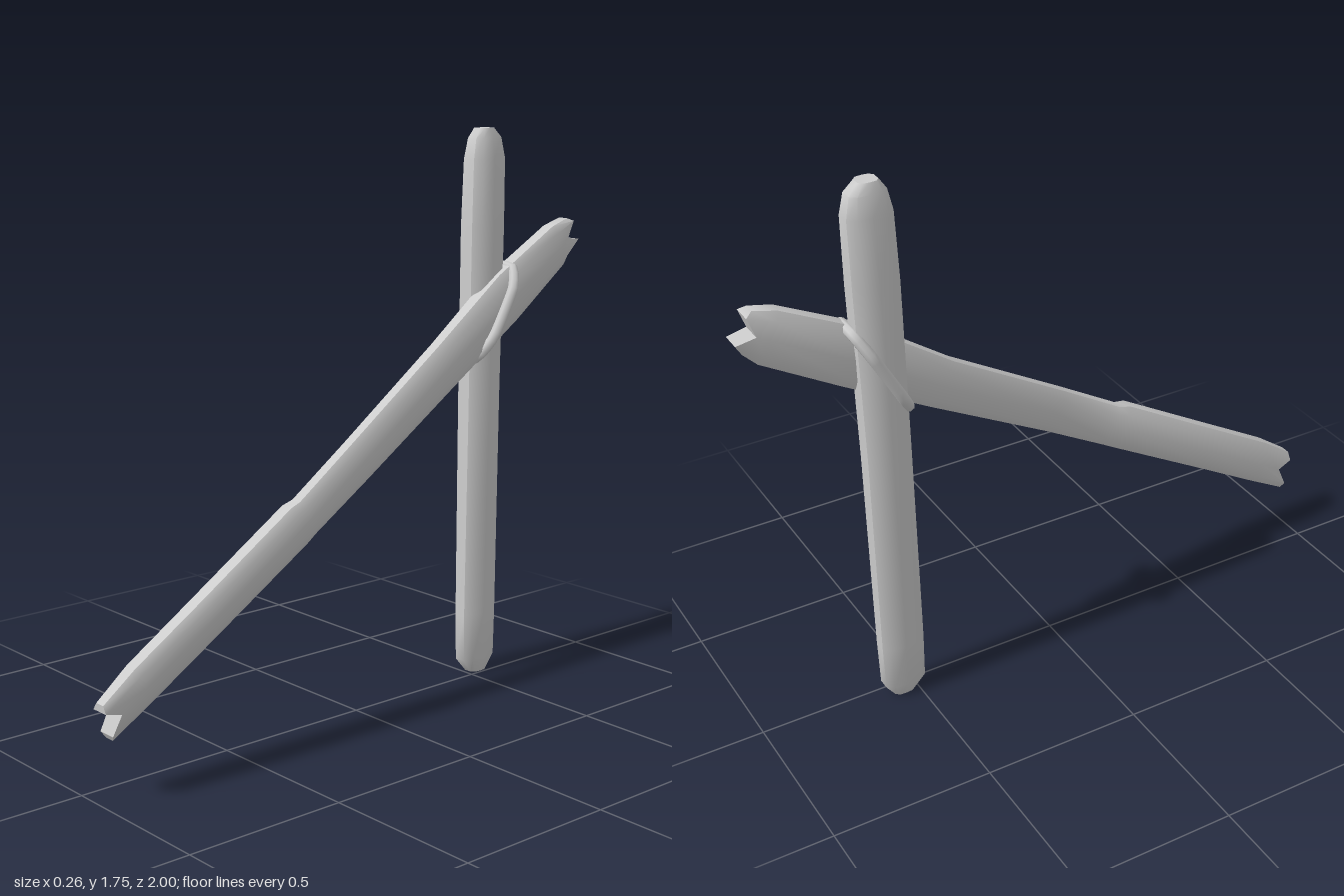
import * as THREE from 'three';
import { toCreasedNormals } from 'three/addons/utils/BufferGeometryUtils.js';

const material = new THREE.MeshStandardMaterial({ color: 0xcccccc });

// Rows of a rounded plank section: [half width, height], top to bottom
const ROWS = [[0.5, 1], [0.92, 0.66], [1, 0], [0.92, -0.66], [0.5, -1]];

// Lofts a plank through rings { s, lo, hi, x, w, lean, cut }.
// s runs along the plank, lo..hi is its depth, cut shifts each row along s.
function plank(name, rings, place) {
  const pos = [], index = [], n = ROWS.length, m = 2 * n;
  for (const { s, lo, hi, x, w, lean = 0, cut } of rings) {
    for (let j = 0; j < m; j++) {
      const row = j < n ? j : m - 1 - j, side = j < n ? 1 : -1;
      const [u, v] = ROWS[row];
      const depth = (lo + hi) / 2 + v * (hi - lo) / 2;
      pos.push(...place(x + side * u * w + lean * v, depth, s + (cut ? cut[row] : 0)));
    }
  }
  for (let i = 0; i < rings.length - 1; i++) {
    for (let j = 0; j < m; j++) {
      const a = i * m + j, b = i * m + (j + 1) % m;
      index.push(a, a + m, b, b, a + m, b + m);
    }
  }
  // Ends are closed row by row so that they can be notched
  const end = (rings.length - 1) * m;
  for (let i = 0; i < n - 1; i++) {
    const r = i, l = m - 1 - i;
    index.push(end + r, end + l, end + l - 1, end + r, end + l - 1, end + r + 1);
    index.push(r, l - 1, l, r, r + 1, l - 1);
  }
  const geometry = new THREE.BufferGeometry();
  geometry.setAttribute('position', new THREE.Float32BufferAttribute(pos, 3));
  geometry.setIndex(index);
  const mesh = new THREE.Mesh(toCreasedNormals(geometry, 0.75), material);
  mesh.name = name;
  return mesh;
}

export function createModel() {
  const group = new THREE.Group();
  group.name = 'lashedPlanks';

  // Upright plank with blunt, tapered ends
  group.add(plank('uprightPlank', [
    { s: 0, lo: 0.515, hi: 0.58, x: -0.033, w: 0.025 },
    { s: 0.045, lo: 0.48, hi: 0.612, x: -0.035, w: 0.038 },
    { s: 0.2, lo: 0.482, hi: 0.62, x: -0.04, w: 0.04 },
    { s: 0.9, lo: 0.503, hi: 0.64, x: -0.057, w: 0.048 },
    { s: 1.45, lo: 0.52, hi: 0.662, x: -0.07, w: 0.05 },
    { s: 1.66, lo: 0.53, hi: 0.667, x: -0.073, w: 0.045 },
    { s: 1.725, lo: 0.545, hi: 0.655, x: -0.075, w: 0.037 },
    { s: 1.755, lo: 0.565, hi: 0.625, x: -0.073, w: 0.027 },
  ], (x, d, s) => [x, s, -d]));

  // Slanting plank with split ends and a broken step along its top edge
  group.add(plank('slantingPlank', [
    { s: -1.545, lo: 0.66, hi: 0.775, x: -0.055, w: 0.034, lean: 0.012, cut: [0, -0.015, 0.03, -0.02, 0.015] },
    { s: -1.47, lo: 0.643, hi: 0.795, x: -0.048, w: 0.04, lean: 0.01 },
    { s: -1.18, lo: 0.634, hi: 0.81, x: -0.027, w: 0.043, lean: 0.004 },
    { s: -0.85, lo: 0.632, hi: 0.782, x: -0.008, w: 0.036 },
    { s: -0.38, lo: 0.636, hi: 0.772, x: 0.034, w: 0.034, lean: 0.003 },
    { s: -0.13, lo: 0.636, hi: 0.765, x: 0.05, w: 0.036, lean: 0.006 },
    { s: -0.09, lo: 0.636, hi: 0.776, x: 0.054, w: 0.042, lean: 0.007 },
    { s: 0.3, lo: 0.637, hi: 0.773, x: 0.071, w: 0.043, lean: 0.009 },
    { s: 0.577, lo: 0.637, hi: 0.772, x: 0.082, w: 0.041, lean: 0.011 },
    { s: 0.72, lo: 0.638, hi: 0.76, x: 0.089, w: 0.033, lean: 0.012, cut: [-0.01, 0, -0.04, 0.012, 0.012] },
  ], (x, d, s) => [x, 0.86 * d - 0.51 * s, 0.51 * d + 0.86 * s]));

  // Rope loop tied at a slant around the crossing
  const loop = [[-0.005, 1.315], [0.031, 1.255], [0.031, 1.11], [-0.005, 1.045],
    [-0.075, 1.035], [-0.115, 1.1], [-0.117, 1.25], [-0.085, 1.315]]
    .map(([x, y]) => new THREE.Vector3(x, y, -0.5 - (y - 1.03) * 0.57));
  const path = new THREE.CatmullRomCurve3(loop, true, 'catmullrom', 0.25);
  const rope = new THREE.Mesh(new THREE.TubeGeometry(path, 32, 0.017, 8, true), material);
  rope.name = 'ropeLoop';
  group.add(rope);

  return group;
}
